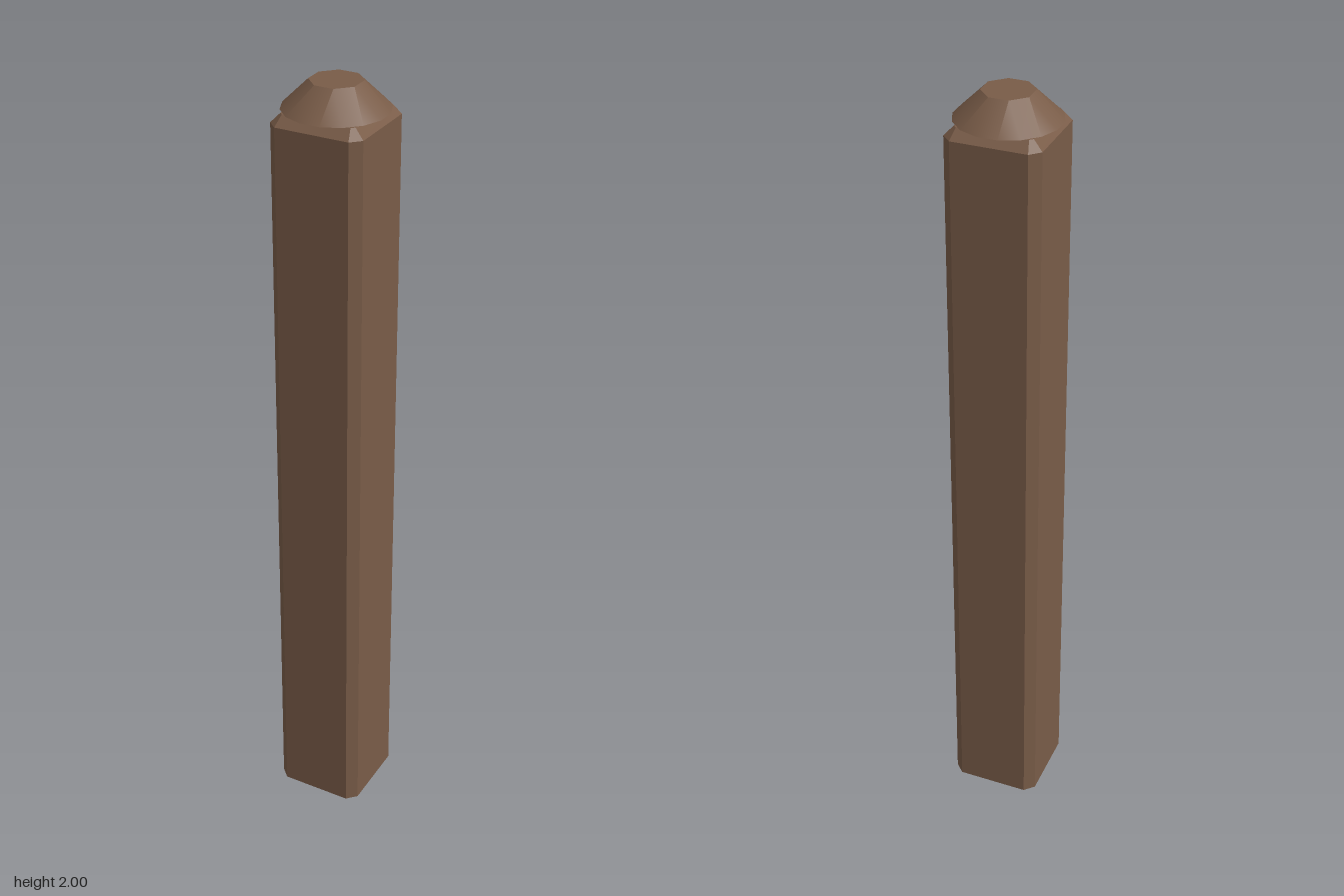
import * as THREE from 'three';

// Square outline with cut corners: h = half width, c = where the flat side ends
function ring(h, c, y) {
  return [[c, h], [h, c], [h, -c], [c, -h], [-c, -h], [-h, -c], [-h, c], [-c, h]]
    .map(([x, z]) => [x, y, z]);
}

// Joins stacked rings with walls and closes the last one; the base stays open
function loft(rings) {
  const pos = [];
  const n = rings[0].length;
  for (let r = 0; r < rings.length - 1; r++) {
    for (let i = 0; i < n; i++) {
      const j = (i + 1) % n;
      const [a, b, c, d] = [rings[r][i], rings[r][j], rings[r + 1][j], rings[r + 1][i]];
      pos.push(...a, ...b, ...c, ...a, ...c, ...d);
    }
  }
  const top = rings[rings.length - 1];
  for (let i = 1; i < n - 1; i++) pos.push(...top[0], ...top[i], ...top[i + 1]);
  const geo = new THREE.BufferGeometry();
  geo.setAttribute('position', new THREE.Float32BufferAttribute(pos, 3));
  geo.computeVertexNormals();
  return geo;
}

// Sixteen-sided cone frustum whose top ring is pulled onto an octagon
function capGeometry(topRadius, bottomRadius, height) {
  const geo = new THREE.CylinderGeometry(topRadius, bottomRadius, height, 16, 1, false, Math.PI / 16);
  const p = geo.attributes.position;
  const step = Math.PI / 4;
  for (let i = 0; i < p.count; i++) {
    const x = p.getX(i), z = p.getZ(i);
    if (p.getY(i) < 0 || Math.hypot(x, z) < 0.001) continue;
    const a = (Math.floor(Math.atan2(x, z) / step) + 0.5) * step;
    p.setX(i, Math.sin(a) * topRadius);
    p.setZ(i, Math.cos(a) * topRadius);
  }
  return geo;
}

export function createModel() {
  const group = new THREE.Group();
  group.name = 'fencePost';
  const wood = new THREE.MeshStandardMaterial({ color: 0x795c48, side: THREE.DoubleSide });
  wood.name = 'brown wood';

  // Shaft with chamfered corners and a sloping shoulder
  const shaft = new THREE.Mesh(loft([
    ring(0.117, 0.093, 0),
    ring(0.117, 0.093, 1.91),
    ring(0.094, 0.086, 1.934),
  ]), wood);
  shaft.name = 'shaft';

  // Overhanging cap
  const cap = new THREE.Mesh(capGeometry(0.063, 0.127, 0.065), wood);
  cap.position.y = 1.9675;
  cap.name = 'cap';

  group.add(shaft, cap);
  return group;
}
